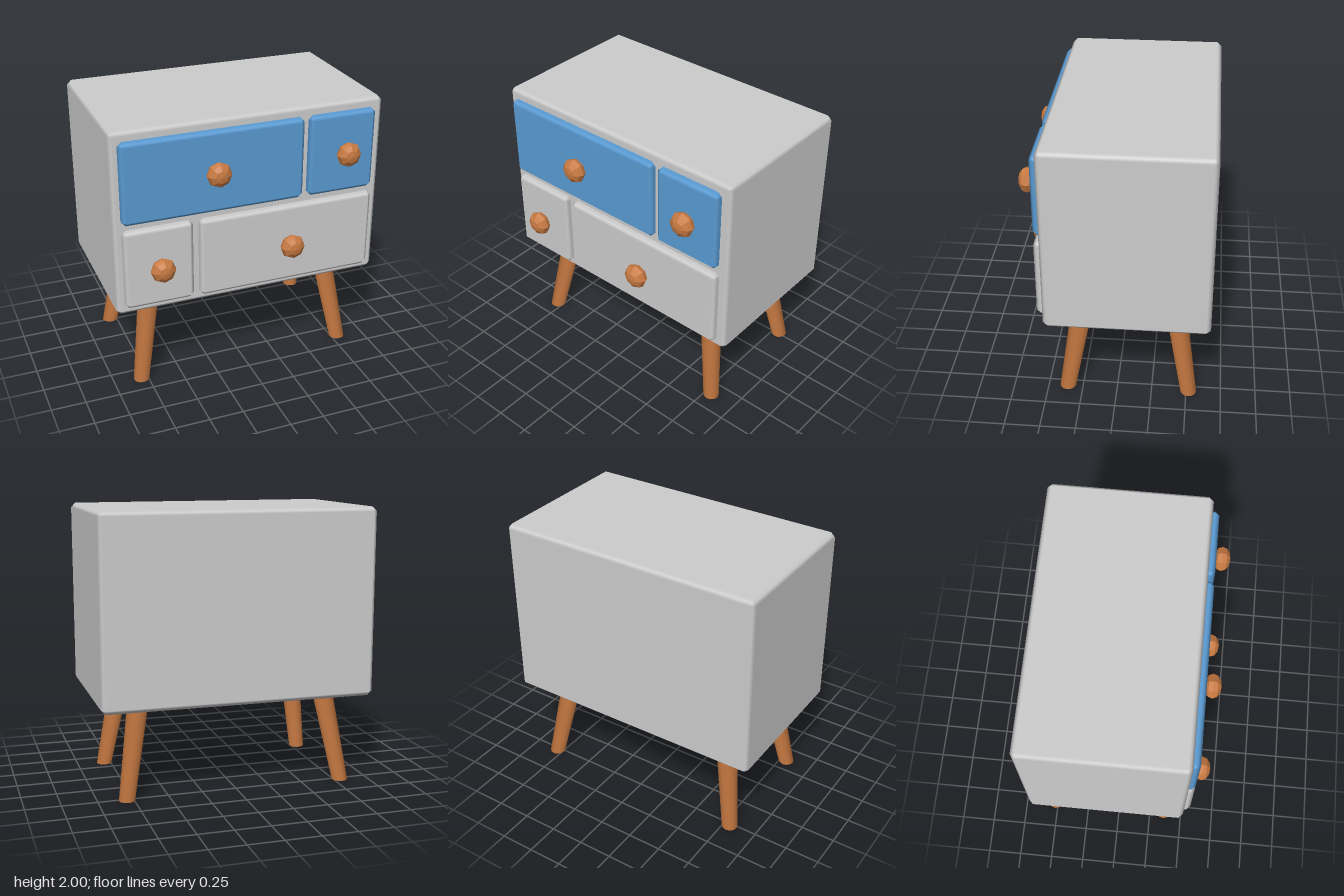
import * as THREE from 'three';

// Box with single-step chamfered edges: flat faces, softly shaded bevels
function chamferBox([x0, x1], [y0, y1], [z0, z1], r) {
  const geo = new THREE.BoxGeometry(1, 1, 1, 3, 3, 3);
  const pos = geo.attributes.position, nor = geo.attributes.normal;
  const half = new THREE.Vector3(x1 - x0, y1 - y0, z1 - z0).multiplyScalar(0.5);
  for (let i = 0; i < pos.count; i++) {
    const p = new THREE.Vector3().fromBufferAttribute(pos, i);
    const s = p.clone().set(Math.sign(p.x), Math.sign(p.y), Math.sign(p.z));
    const n = p.clone().multiplyScalar(2).roundToZero();
    // outer grid points sit on the box surface; inner ones have no outward direction
    n.set(...p.toArray().map(v => (Math.abs(v) > 0.4 ? Math.sign(v) : 0)));
    const step = r / n.manhattanLength();
    p.copy(half).subScalar(r).multiply(s).addScaledVector(n, step);
    pos.setXYZ(i, p.x, p.y, p.z);
    n.normalize();
    nor.setXYZ(i, n.x, n.y, n.z);
  }
  return geo.translate((x0 + x1) / 2, (y0 + y1) / 2, (z0 + z1) / 2);
}

// Tapered leg leaning from its foot to its top, with a level sole
function legGeometry(foot, top, height) {
  const geo = new THREE.CylinderGeometry(0.077, 0.058, height, 12);
  geo.translate(0, height / 2, 0);
  const pos = geo.attributes.position;
  for (let i = 0; i < pos.count; i++) {
    const t = pos.getY(i) / height;
    pos.setX(i, pos.getX(i) + THREE.MathUtils.lerp(foot[0], top[0], t));
    pos.setZ(i, pos.getZ(i) + THREE.MathUtils.lerp(foot[1], top[1], t));
  }
  return geo;
}

export function createModel() {
  const material = (name, color) => {
    const m = new THREE.MeshStandardMaterial({ color });
    m.name = name;
    return m;
  };
  const grey = material('light grey paint', 0xcccccc);
  const blue = material('blue paint', 0x5a9bd3);
  const wood = material('warm wood', 0xc87a42);

  const group = new THREE.Group();
  group.name = 'chestOfDrawers';
  const add = (name, geo, mat) => {
    const mesh = new THREE.Mesh(geo, mat);
    mesh.name = name;
    group.add(mesh);
  };

  // Cabinet
  add('cabinet', chamferBox([-0.985, 0.985], [0.65, 2], [-0.655, 0.495], 0.032), grey);

  // Drawer fronts, each with a faceted knob
  const drawers = [
    ['upperWideDrawer', [-0.93, 0.378], [1.342, 1.932], blue, [-0.27, 1.645]],
    ['upperNarrowDrawer', [0.415, 0.915], [1.342, 1.932], blue, [0.685, 1.645]],
    ['lowerNarrowDrawer', [-0.93, -0.432], [0.712, 1.3], grey, [-0.675, 1.005]],
    ['lowerWideDrawer', [-0.387, 0.92], [0.708, 1.297], grey, [0.28, 1.005]],
  ];
  for (const [name, xs, ys, mat, [kx, ky]] of drawers) {
    add(name, chamferBox(xs, ys, [0.44, 0.543], 0.03), mat);
    const knob = new THREE.SphereGeometry(0.09, 8, 6).rotateX(Math.PI / 2);
    knob.scale(1, 1, 0.68).translate(kx, ky, 0.595);
    const flat = knob.toNonIndexed();
    flat.computeVertexNormals();
    add(name + 'Knob', flat, wood);
  }

  // Splayed legs
  for (const [side, sx] of [['Left', 1], ['Right', -1]]) {
    add('front' + side + 'Leg', legGeometry([sx * 0.798, 0.36], [sx * 0.687, 0.25], 0.67), wood);
    add('back' + side + 'Leg', legGeometry([sx * 0.798, -0.517], [sx * 0.687, -0.405], 0.67), wood);
  }
  return group;
}
